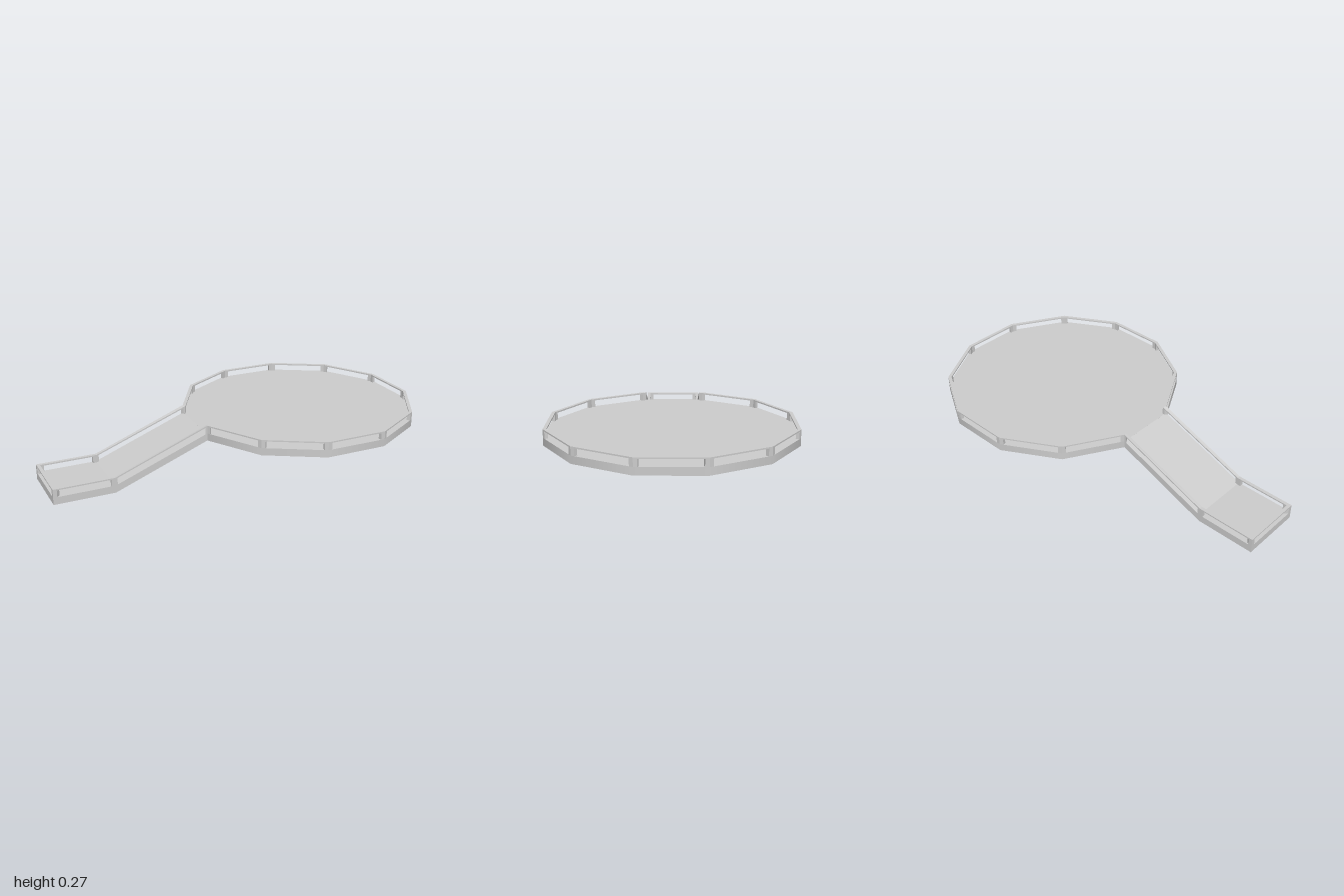
import * as THREE from 'three';

const CX = 0.4, R = 0.621, HALF_W = 0.16, BEND_X = -0.69, END_X = -1, JOIN_X = -0.2;
const DECK_Y = 0.188, SLAB = 0.038, RAIL_BASE = 0.073, RAIL_TOP = 0.08, THICK = 0.017;

export function createModel() {
  const model = new THREE.Group();
  const material = new THREE.MeshStandardMaterial({ color: 0xcccccc });

  function add(parent, name, geometry) {
    const mesh = new THREE.Mesh(geometry, material);
    mesh.name = name;
    parent.add(mesh);
    return mesh;
  }

  // Twelve-sided platform slab
  const slab = add(model, 'platform', new THREE.CylinderGeometry(R, R, SLAB, 12, 1, false, Math.PI / 12));
  slab.position.set(CX, DECK_Y + SLAB / 2, 0);

  // Walkway: flat landing, then a slope up to the platform
  const profile = new THREE.Shape([
    [END_X, 0], [BEND_X, 0], [JOIN_X, DECK_Y],
    [JOIN_X, DECK_Y + SLAB], [BEND_X, SLAB], [END_X, SLAB],
  ].map(([x, y]) => new THREE.Vector2(x, y)));
  const walkway = new THREE.ExtrudeGeometry(profile, { depth: 2 * HALF_W, bevelEnabled: false });
  add(model, 'walkway', walkway.translate(0, 0, -HALF_W));

  // Outline followed by the railing, around the platform and the walkway
  const outline = [];
  for (let i = 0; i < 12; i++) {
    const a = THREE.MathUtils.degToRad(-165 + 30 * i);
    outline.push(new THREE.Vector3(CX + R * Math.cos(a), DECK_Y, R * Math.sin(a)));
  }
  for (const [x, z] of [[BEND_X, HALF_W], [END_X, HALF_W], [END_X, -HALF_W], [BEND_X, -HALF_W]]) {
    outline.push(new THREE.Vector3(x, 0, z));
  }

  // Mitred inner outline
  const n = outline.length;
  const inward = (i) => {
    const a = outline[i % n], b = outline[(i + 1) % n];
    return new THREE.Vector3(a.z - b.z, 0, b.x - a.x).normalize();
  };
  const inner = outline.map((p, i) => {
    const n1 = inward(i + n - 1), n2 = inward(i);
    const mitre = n1.clone().add(n2).multiplyScalar(THICK / (1 + n1.dot(n2)));
    return mitre.add(p);
  });

  // Bar along side i, spanning t0..t1 of its length and h0..h1 above its base
  function bar(i, t0, t1, h0, h1) {
    const geometry = new THREE.BoxGeometry(1, 1, 1);
    const pos = geometry.attributes.position;
    const j = (i + 1) % n, p = new THREE.Vector3(), q = new THREE.Vector3();
    for (let k = 0; k < pos.count; k++) {
      const t = pos.getX(k) < 0 ? t0 : t1;
      const h = pos.getY(k) < 0 ? h0 : h1;
      p.lerpVectors(outline[i], outline[j], t);
      if (pos.getZ(k) > 0) p.copy(q.lerpVectors(inner[i], inner[j], t));
      pos.setXYZ(k, p.x, p.y + h, p.z);
    }
    geometry.computeVertexNormals();
    return geometry;
  }

  // Each side has a top rail and a post at both ends
  const railing = new THREE.Group();
  railing.name = 'railing';
  model.add(railing);
  for (let i = 0; i < n; i++) {
    const a = outline[i], b = outline[(i + 1) % n];
    const sloped = Math.abs(a.y - b.y) > 0.01;
    const w = (sloped ? 0.012 : 0.02) / a.distanceTo(b);
    add(railing, 'topRail', bar(i, 0, 1, RAIL_BASE, RAIL_TOP));
    add(railing, 'startPost', bar(i, 0, w, SLAB, RAIL_BASE));
    add(railing, 'endPost', bar(i, 1 - w, 1, SLAB, RAIL_BASE));
  }
  return model;
}
